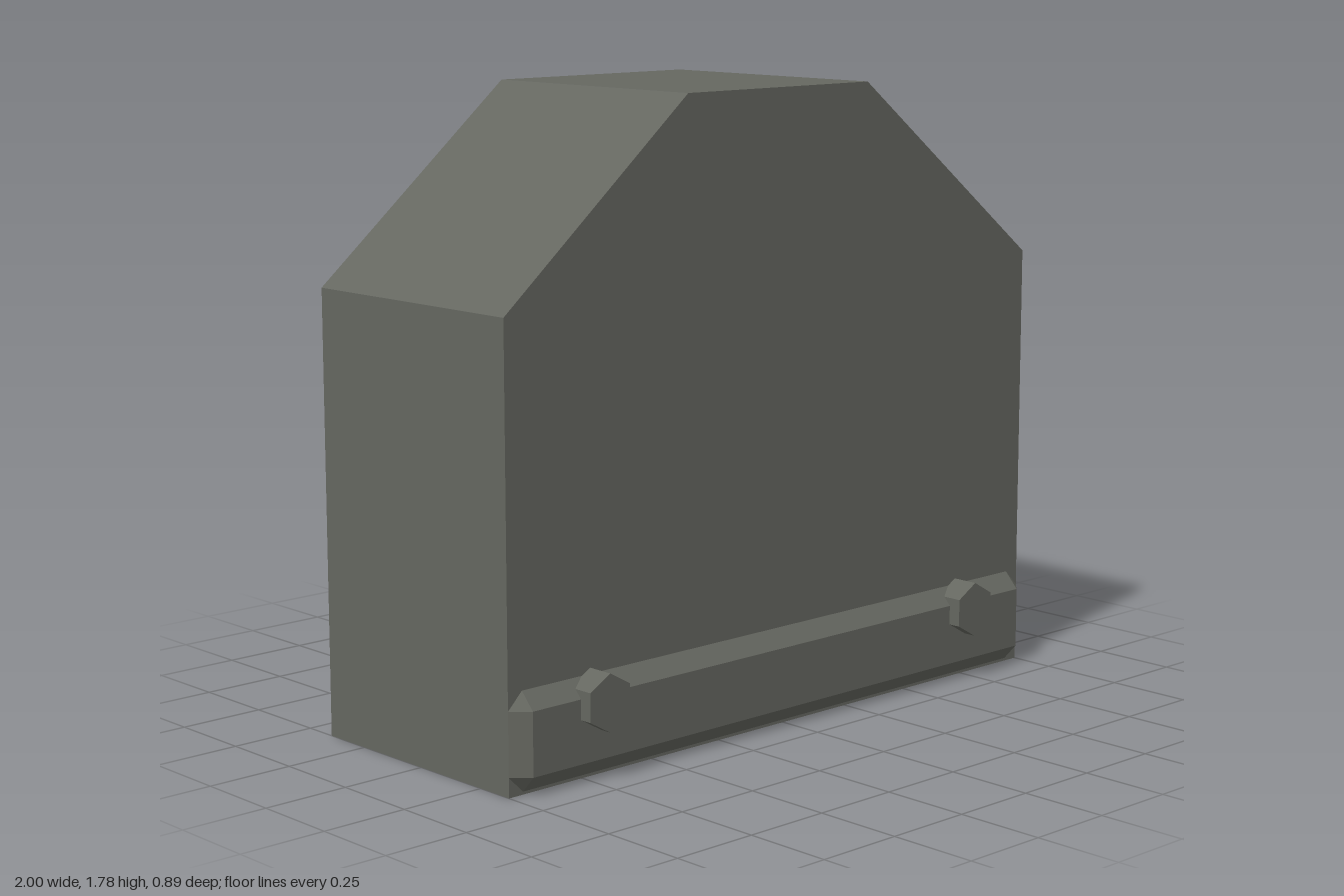
import * as THREE from 'three';
import { ConvexGeometry } from 'three/addons/geometries/ConvexGeometry.js';

const FRONT = 0.365, BACK = -0.4;

// Rail with bevelled edges, flat against z = 0 and projecting toward +z
function railGeometry(halfW, halfH, depth, bevel) {
  const points = [];
  for (const sx of [-1, 1]) {
    for (const sy of [-1, 1]) {
      points.push(
        new THREE.Vector3(sx * halfW, sy * (halfH - bevel), 0),
        new THREE.Vector3(sx * (halfW - bevel), sy * halfH, 0),
        new THREE.Vector3(sx * (halfW - bevel), sy * (halfH - bevel), depth)
      );
    }
  }
  return new ConvexGeometry(points);
}

export function createModel() {
  const model = new THREE.Group();
  model.name = 'block';
  const stone = new THREE.MeshStandardMaterial({ color: 0x656760, flatShading: true });
  stone.name = 'dark grey';

  const add = (name, geometry, x = 0, y = 0, z = 0) => {
    const mesh = new THREE.Mesh(geometry, stone);
    mesh.name = name;
    mesh.position.set(x, y, z);
    model.add(mesh);
    return mesh;
  };

  // Main slab with sloping shoulders
  const outline = new THREE.Shape([
    [-1, 0], [1, 0], [1, 1.25], [0.32, 1.78], [-0.365, 1.78], [-1, 1.25],
  ].map(([x, y]) => new THREE.Vector2(x, y)));
  add('body', new THREE.ExtrudeGeometry(outline, { depth: FRONT - BACK, bevelEnabled: false }), 0, 0, BACK);

  // Bevelled rails along the foot of the front and back
  const rail = railGeometry(1, 0.135, 0.043, 0.047);
  add('frontRail', rail, 0, 0.143, FRONT);
  add('backRail', rail, 0, 0.143, BACK).rotation.y = Math.PI;

  // Hexagonal bolts on the front rail
  const bolt = new THREE.CylinderGeometry(0.08, 0.08, 0.08, 6);
  bolt.rotateX(Math.PI / 2);
  for (const side of [-1, 1]) {
    add(side > 0 ? 'leftBolt' : 'rightBolt', bolt, side * 0.72, 0.215, 0.405);
  }
  return model;
}
